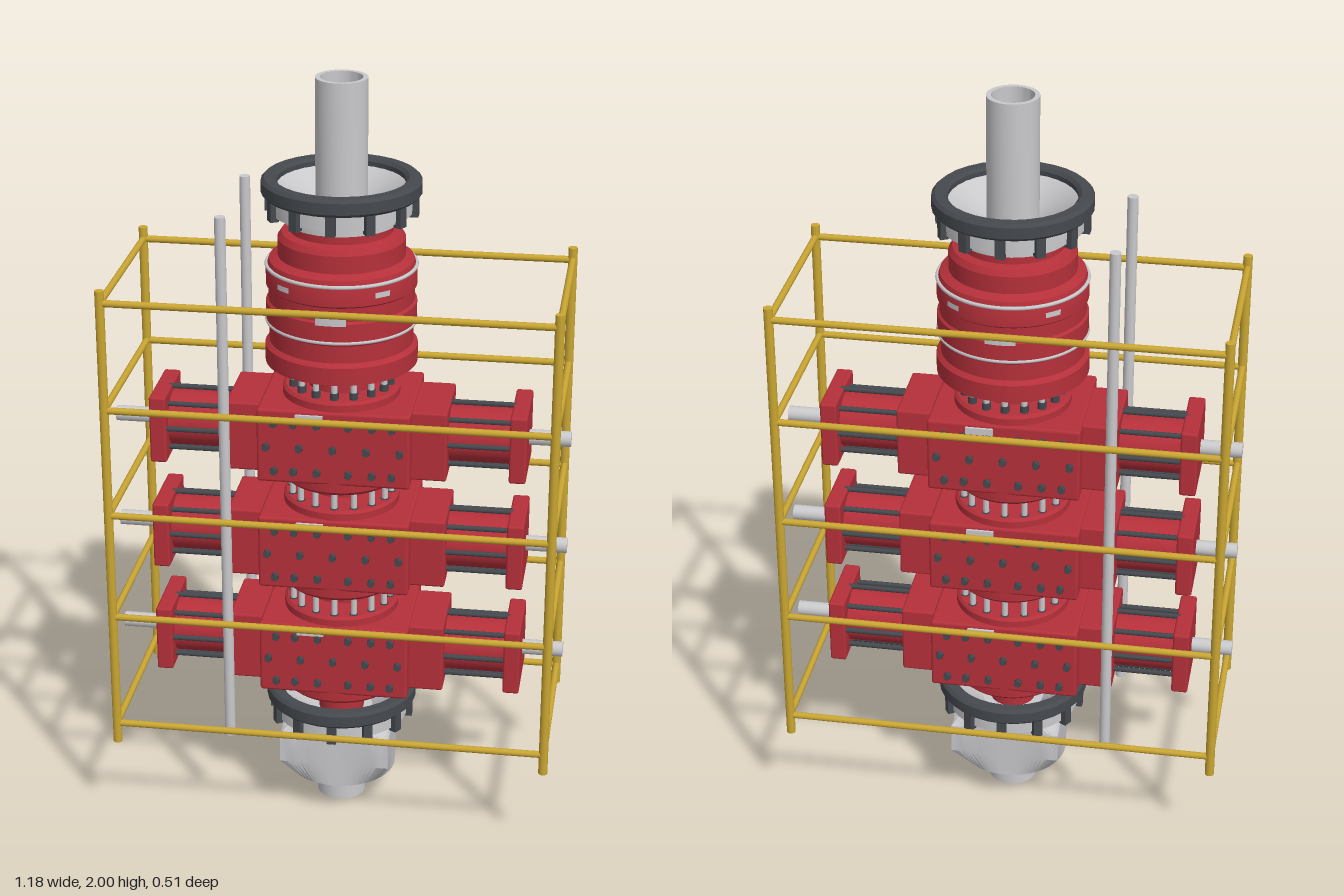
import * as THREE from 'three';
import { toCreasedNormals } from 'three/addons/utils/BufferGeometryUtils.js';
import { RoundedBoxGeometry } from 'three/addons/geometries/RoundedBoxGeometry.js';

const paint = (name, color) => Object.assign(new THREE.MeshStandardMaterial({ color }), { name });

export function createModel() {
  const red = paint('red body', 0xb5303a);
  const steel = paint('light steel', 0xc9c9cc);
  const dark = paint('dark steel', 0x45494e);
  const yellow = paint('yellow frame', 0xcaa632);
  const root = new THREE.Group();
  root.name = 'wellheadStack';

  const add = (parent, name, geo, mat, x = 0, y = 0, z = 0) => {
    const m = new THREE.Mesh(geo, mat);
    m.name = name;
    m.position.set(x, y, z);
    parent.add(m);
    return m;
  };
  const group = (name, y = 0, parent = root) => {
    const g = new THREE.Group();
    g.name = name;
    g.position.y = y;
    parent.add(g);
    return g;
  };
  // Solid of revolution with sharp edges; points run up the outside
  const lathe = (pts, seg = 48) =>
    toCreasedNormals(new THREE.LatheGeometry(pts.map(p => new THREE.Vector2(...p)), seg), 0.5);
  // Rod between two points
  const rod = (parent, name, a, b, r, mat, seg = 10) => {
    const A = new THREE.Vector3(...a), B = new THREE.Vector3(...b);
    const m = add(parent, name, new THREE.CylinderGeometry(r, r, A.distanceTo(B), seg), mat);
    m.position.copy(A).add(B).multiplyScalar(0.5);
    m.quaternion.setFromUnitVectors(new THREE.Vector3(0, 1, 0), B.sub(A).normalize());
    return m;
  };
  const ring = (n, fn) => {
    for (let i = 0; i < n; i++) fn((i / n) * Math.PI * 2);
  };
  const tube = (r, wall, y0, y1) =>
    lathe([[r - wall, y0], [r, y0], [r, y1], [r - wall, y1], [r - wall, y0]], 32);

  // Pipes at both ends
  add(root, 'topPipe', tube(0.065, 0.012, 1.62, 2), steel);
  add(root, 'bottomPipe', tube(0.065, 0.012, 0, 0.12), steel);

  // Funnel connector with a dark clamp ring and fingers
  const connector = (name, y) => {
    const g = group(name, y);
    add(g, 'funnel', lathe([[0.06, -0.11], [0.145, -0.11], [0.145, -0.09], [0.178, -0.085],
      [0.178, -0.02], [0.16, -0.02], [0.07, -0.09], [0.06, -0.11]]), steel);
    add(g, 'clampRing', lathe([[0.16, -0.045], [0.192, -0.045], [0.2, -0.037], [0.2, -0.008],
      [0.192, 0], [0.168, 0], [0.16, -0.008], [0.16, -0.045]], 32), dark);
    ring(12, a => {
      const f = add(g, 'clampFinger', new THREE.BoxGeometry(0.024, 0.07, 0.022), dark,
        Math.sin(a) * 0.181, -0.06, Math.cos(a) * 0.181);
      f.rotation.y = a;
    });
  };
  connector('topConnector', 1.75);
  connector('bottomConnector', 0.34);

  // Square base block, its corners trimmed by a cone
  const base = new THREE.LatheGeometry([[0.05, 0.09], [0.145, 0.09], [0.206, 0.155], [0.206, 0.235],
    [0.165, 0.26], [0.05, 0.26]].map(p => new THREE.Vector2(...p)), 96);
  const bp = base.attributes.position;
  for (let i = 0; i < bp.count; i++) {
    bp.setX(i, THREE.MathUtils.clamp(bp.getX(i), -0.145, 0.145));
    bp.setZ(i, THREE.MathUtils.clamp(bp.getZ(i), -0.145, 0.145));
  }
  add(root, 'baseBlock', toCreasedNormals(base, 0.4), steel);

  // Annular preventer
  const annular = group('annularPreventer');
  add(annular, 'annularBody', lathe([[0, 1.27], [0.193, 1.27], [0.193, 1.315], [0.182, 1.325],
    [0.182, 1.37], [0.19, 1.375], [0.19, 1.43], [0.184, 1.435], [0.184, 1.47], [0.19, 1.475],
    [0.19, 1.515], [0.182, 1.54], [0.16, 1.55], [0.16, 1.595], [0.15, 1.61], [0.13, 1.615],
    [0.13, 1.65], [0, 1.65]], 64), red);
  for (const y of [1.38, 1.525]) {
    const t = add(annular, 'sealBand', new THREE.TorusGeometry(0.188, 0.005, 8, 64), steel, 0, y, 0);
    t.rotation.x = Math.PI / 2;
  }
  // Curved name plates, front and back
  const plate = (a, y, w, h) => add(annular, 'plate',
    new THREE.CylinderGeometry(0.193, 0.193, h, 8, 1, true, a - w / 2, w), steel, 0, y, 0)
    .material = plateMat;
  const plateMat = steel.clone();
  plateMat.name = 'steel plate';
  plateMat.side = THREE.DoubleSide;
  for (const side of [0, Math.PI]) {
    plate(side, 1.44, 0.4, 0.028);
    for (const d of [-0.7, 0.7]) plate(side + d, 1.5, 0.22, 0.014);
  }

  // Stud circles joining the flanges
  const joint = (y0, y1, r) => {
    const g = group('studJoint');
    rod(g, 'neck', [0, y0 - 0.01, 0], [0, y1 + 0.01, 0], 0.085, red, 32);
    ring(16, a => {
      const x = Math.sin(a) * r, z = Math.cos(a) * r;
      rod(g, 'stud', [x, y0, z], [x, y1, z], 0.008, steel, 8);
      rod(g, 'nut', [x, y0 - 0.002, z], [x, y0 + 0.018, z], 0.012, dark, 6);
      rod(g, 'nut', [x, y1 - 0.018, z], [x, y1 + 0.002, z], 0.012, dark, 6);
    });
  };
  joint(1.205, 1.27, 0.125);
  joint(0.95, 0.905, 0.13);
  joint(0.65, 0.6, 0.13);
  rod(root, 'lowerNeck', [0, 0.25, 0], [0, 0.36, 0], 0.06, red, 32);

  // Ram preventers
  const ram = y => {
    const g = group('ramPreventer', y);
    add(g, 'ramBlock', new RoundedBoxGeometry(0.39, 0.2, 0.31, 2, 0.008), red);
    add(g, 'flanges', lathe([[0, -0.13], [0.145, -0.13], [0.155, -0.12], [0.155, -0.09], [0.15, 0.09],
      [0.15, 0.118], [0.143, 0.125], [0, 0.125]]), red);
    for (const s of [-1, 1]) {
      // Face bolts in staggered rows and a small plate
      [[-0.065, 0.15, 0.1, 0.04], [0, 0.17, 0.085, 0], [0.065, 0.15, 0.1, 0.04]].forEach(([by, ...xs]) => {
        for (const bx of new Set(xs.flatMap(v => [v, -v]).map(v => v + 0)))
          rod(g, 'faceBolt', [bx, by, s * 0.15], [bx, by, s * 0.17], 0.01, dark, 6);
      });
      add(g, 'ramPlate', new THREE.BoxGeometry(0.07, 0.018, 0.008), steel, -0.06 * s, 0.082, s * 0.158);

      // Bonnet, actuator cylinder, tie rods, end plate and stem
      const arm = group('actuator', 0, g);
      if (s < 0) arm.rotation.y = Math.PI;
      add(arm, 'bonnet', new RoundedBoxGeometry(0.11, 0.186, 0.212, 2, 0.006), red, 0.228);
      rod(arm, 'cylinder', [0.27, 0, 0], [0.45, 0, 0], 0.072, red, 32);
      add(arm, 'endPlate', new RoundedBoxGeometry(0.043, 0.18, 0.2, 2, 0.006), red, 0.462);
      ring(8, a => {
        const ry = Math.cos(a) * 0.085, rz = Math.sin(a) * 0.085;
        rod(arm, 'tieRod', [0.275, ry, rz], [0.45, ry, rz], 0.007, dark, 8);
      });
      rod(arm, 'stem', [0.47, 0, 0], [0.59, 0, 0], 0.02, steel, 16);
    }
  };
  [1.08, 0.78, 0.475].forEach(ram);

  // Choke and kill lines
  for (const z of [-0.168, 0.165]) rod(root, 'sideLine', [-0.275, 0.24, z], [-0.275, 1.685, z], 0.014, steel, 16);

  // Guard frame
  const frame = group('guardFrame');
  const X = 0.563, Z = 0.245;
  for (const sx of [-X, X])
    for (const sz of [-Z, Z]) rod(frame, 'post', [sx, 0.24, sz], [sx, 1.508, sz], 0.012, yellow, 12);
  for (const y of [0.295, 0.61, 0.9, 1.19, 1.475])
    for (const s of [-1, 1]) {
      rod(frame, 'longRail', [-X, y, s * Z], [X, y, s * Z], 0.009, yellow);
      rod(frame, 'shortRail', [s * X, y, -Z], [s * X, y, Z], 0.009, yellow);
    }

  return root;
}
